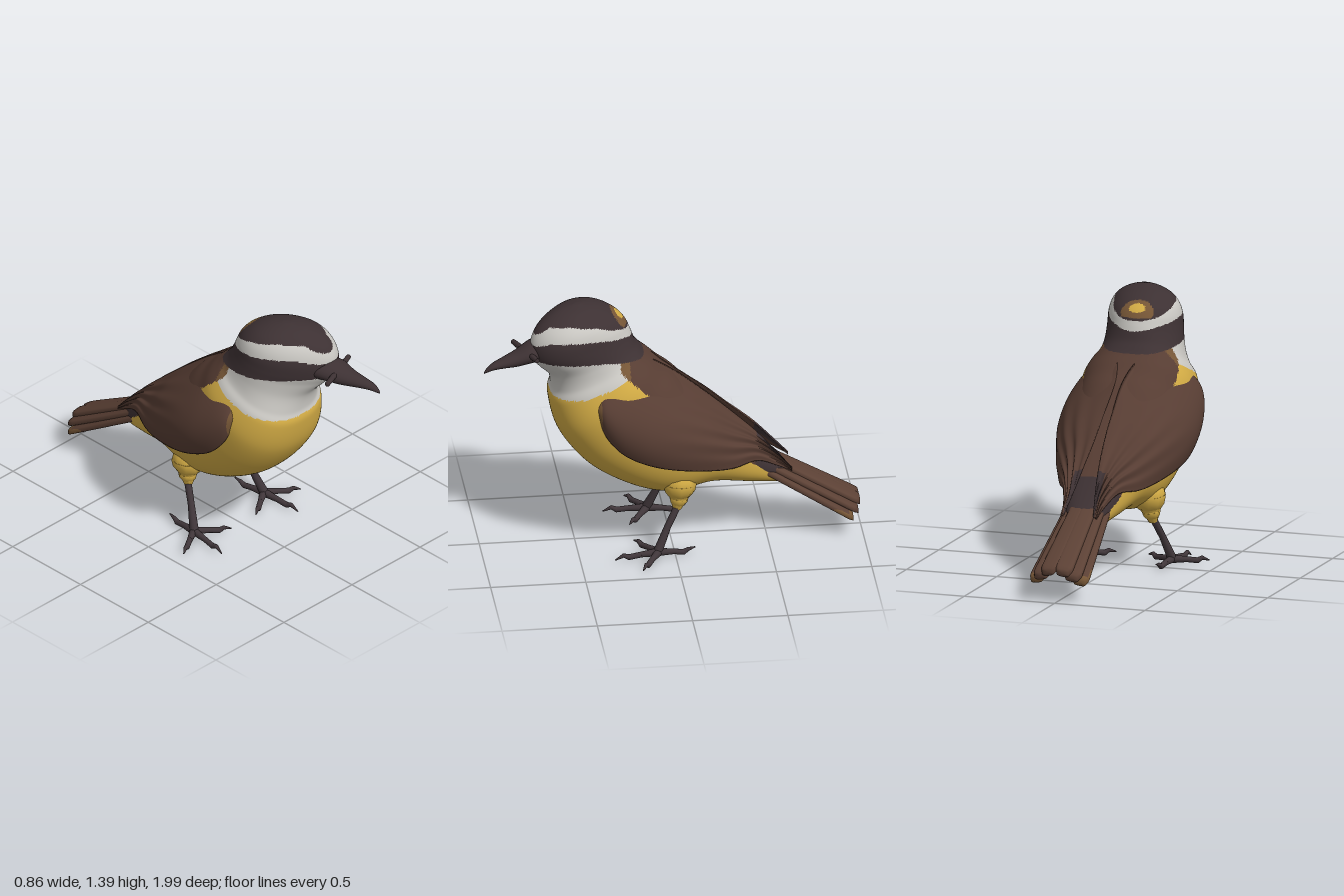
import * as THREE from 'three';

const COLOURS = {
  brown: 0x573d33, dark: 0x3d3133, white: 0xc9c7c2, yellow: 0xd3ac45,
  tan: 0x765636, legGrey: 0x40363a, tailBrown: 0x5c4135,
};
const NAMES = Object.keys(COLOURS);

// Catmull-Rom sample of a table of rows, u in 0..1
function sample(rows, u) {
  const n = rows.length - 1, f = Math.min(u * n, n - 1e-6), i = Math.floor(f), t = f - i;
  const row = (k) => rows[Math.max(0, Math.min(n, k))];
  return rows[i].map((_, k) => {
    const a = row(i - 1)[k], b = row(i)[k], c = row(i + 1)[k], d = row(i + 2)[k];
    return b + 0.5 * t * (c - a + t * (2 * a - 5 * b + 4 * c - d + t * (3 * (b - c) + d - a)));
  });
}

// Piecewise-linear curve through [x, y] pairs
function along(pts, x) {
  for (let i = 1; i < pts.length; i++) {
    if (x <= pts[i][0] || i === pts.length - 1) {
      const [x0, y0] = pts[i - 1], [x1, y1] = pts[i];
      return y0 + (y1 - y0) * THREE.MathUtils.clamp((x - x0) / (x1 - x0), 0, 1);
    }
  }
}

// Skin of closed rings point(u, v) with closed ends; colour(x, y, z, u, v) names each face's material
function loft(point, nu, nv, colour, mats, name) {
  const pos = [], buckets = NAMES.map(() => []);
  for (let i = 0; i <= nu; i++) for (let j = 0; j < nv; j++) pos.push(...point(i / nu, j / nv));
  const P = (i) => new THREE.Vector3().fromArray(pos, i * 3);
  const cap = (start) => {
    const c = new THREE.Vector3();
    for (let j = 0; j < nv; j++) c.addScaledVector(P(start + j), 1 / nv);
    return pos.push(c.x, c.y, c.z) / 3 - 1;
  };
  const first = cap(0), last = cap(nu * nv), tris = [];
  for (let j = 0; j < nv; j++) {
    const k = (j + 1) % nv;
    tris.push([first, k, j, 0, j / nv], [last, nu * nv + j, nu * nv + k, 1, j / nv]);
    for (let i = 0; i < nu; i++) {
      const a = i * nv + j, b = i * nv + k, u = (i + 0.5) / nu, v = (j + 0.5) / nv;
      tris.push([a, b, b + nv, u, v], [a, b + nv, a + nv, u, v]);
    }
  }
  let volume = 0;
  for (const [a, b, c] of tris) volume += P(a).dot(P(b).cross(P(c)));
  for (const [a, b, c, u, v] of tris) {
    const m = P(a).add(P(b)).add(P(c)).divideScalar(3);
    buckets[NAMES.indexOf(colour(m.x, m.y, m.z, u, v))].push(...(volume > 0 ? [a, b, c] : [a, c, b]));
  }
  const geo = new THREE.BufferGeometry();
  geo.setAttribute('position', new THREE.Float32BufferAttribute(pos, 3));
  geo.setIndex(buckets.flat());
  let start = 0;
  buckets.forEach((b, i) => { if (b.length) geo.addGroup(start, b.length, i); start += b.length; });
  geo.computeVertexNormals();
  const mesh = new THREE.Mesh(geo, NAMES.map((n) => mats[n]));
  mesh.name = name;
  return mesh;
}

// Sideways lean of the turned head
const turnX = (z) => { const d = z - 0.42; return 0.18 * (d + Math.sqrt(d * d + 0.01)) - 0.005; };

// Body and head rings: back z, back y, front z, front y, half width, head turn
const BODY = [
  [-0.63, 0.39, -0.63, 0.32, 0.03, 0], [-0.58, 0.43, -0.57, 0.3, 0.09, 0],
  [-0.44, 0.56, -0.4, 0.322, 0.16, 0], [-0.31, 0.69, -0.2, 0.345, 0.22, 0],
  [-0.18, 0.81, 0, 0.305, 0.265, 0], [-0.1, 0.885, 0.17, 0.335, 0.285, 0],
  [-0.016, 0.97, 0.36, 0.43, 0.3, 0], [0.05, 1.02, 0.49, 0.54, 0.305, 0],
  [0.1, 1.065, 0.6, 0.7, 0.3, 0], [0.14, 1.1, 0.64, 0.86, 0.265, 0],
  [0.165, 1.13, 0.63, 0.935, 0.23, 0.1], [0.185, 1.16, 0.645, 1.02, 0.215, 0.5],
  [0.2, 1.2, 0.7, 1.09, 0.212, 0.9], [0.215, 1.24, 0.74, 1.15, 0.21, 1],
  [0.235, 1.28, 0.745, 1.23, 0.205, 1], [0.27, 1.32, 0.715, 1.3, 0.185, 1],
  [0.33, 1.36, 0.66, 1.35, 0.145, 1], [0.4, 1.387, 0.59, 1.384, 0.085, 1],
  [0.47, 1.4, 0.51, 1.4, 0.015, 1],
];
const CROWN = [[0.2, 1.25], [0.25, 1.265], [0.4, 1.32], [0.55, 1.345], [0.65, 1.335], [0.75, 1.265]];
const BROW = [[0.2, 1.205], [0.25, 1.225], [0.4, 1.255], [0.55, 1.27], [0.65, 1.265], [0.75, 1.225]];
const MASK = [[0.15, 1.1], [0.4, 1.13], [0.6, 1.143], [0.75, 1.15]];
const BIB = [[0.2, 1.06], [0.33, 1.0], [0.465, 0.945], [0.64, 0.905]];

function bodyPoint(u, v) {
  const [bz, by, fz, fy, w, turn] = sample(BODY, u), a = v * Math.PI * 2;
  const e = 2 / THREE.MathUtils.lerp(2.35, 2, turn);
  const soft = (t) => Math.sign(t) * Math.abs(t) ** e;
  const c = soft(Math.cos(a)), s = soft(Math.sin(a));
  const z = (bz + fz) / 2 + c * (fz - bz) / 2, y = (by + fy) / 2 + c * (fy - by) / 2;
  return [s * w * (1 - 0.2 * turn * Math.max(0, c) ** 2) + turn * turnX(z), y, z];
}

function bodyColour(x, y, z) {
  if (y > along(MASK, z)) {
    const spot = (x / 0.09) ** 2 + ((z - 0.27) / 0.045) ** 2;
    if (y > 1.27 && spot < 1) return spot < 0.25 ? 'yellow' : 'tan';
    return y > along(CROWN, z) || y < along(BROW, z) ? 'dark' : 'white';
  }
  if (z < 0.28 && y > 0.83 + 0.857 * z) return z < -0.43 ? 'dark' : z < 0.23 ? 'brown' : 'tan';
  return y > along(BIB, z) ? 'white' : 'yellow';
}

// Wing sections: z, then x, y of the upper edge, bulge and lower edge
const WING = [
  [0.41, 0.265, 0.93, 0.285, 0.9, 0.285, 0.86], [0.37, 0.215, 1.0, 0.325, 0.89, 0.31, 0.75],
  [0.28, 0.16, 1.06, 0.347, 0.86, 0.33, 0.65], [0.15, 0.07, 1.085, 0.34, 0.84, 0.34, 0.585],
  [0, 0.02, 0.99, 0.305, 0.8, 0.325, 0.54], [-0.18, 0.02, 0.845, 0.245, 0.72, 0.275, 0.5],
  [-0.31, 0.025, 0.73, 0.18, 0.645, 0.22, 0.48], [-0.44, 0.04, 0.61, 0.125, 0.575, 0.155, 0.485],
  [-0.55, 0.06, 0.49, 0.09, 0.48, 0.115, 0.43], [-0.63, 0.08, 0.4, 0.09, 0.395, 0.1, 0.385],
];
const wingPoint = (side) => (u, v) => {
  const [z, tx, ty, mx, my, lx, ly] = sample(WING, u);
  const outer = v < 0.7, t = outer ? v / 0.7 : (1 - v) / 0.3, q = 4 * t * (1 - t);
  // feather ridges grow towards the wing tip
  const ridge = 0.007 * Math.sin(t * 30) * q * THREE.MathUtils.smoothstep(u, 0.35, 0.75);
  const k = outer ? q : -0.1 * q, bx = mx - (tx + lx) / 2, by = my - (ty + ly) / 2;
  const off = outer ? ridge : 0;
  return [side * (tx + (lx - tx) * t + bx * k + off), ty + (ly - ty) * t + by * k + off, z];
};
const wingColour = (x, y, z, u, v) =>
  u < 0.07 || (u < 0.33 && v < 0.04) ? 'tan' : z < -0.45 && Math.abs(x) < 0.085 ? 'dark' : 'brown';

// Bill rings: z, upper y, lower y, half width
const BILL = [
  [0.66, 1.235, 1.125, 0.09], [0.74, 1.235, 1.125, 0.088], [0.82, 1.2, 1.117, 0.062],
  [0.89, 1.177, 1.12, 0.042], [0.95, 1.158, 1.12, 0.026], [0.985, 1.135, 1.112, 0.012], [1.0, 1.114, 1.108, 0.002],
];
function billPoint(u, v) {
  const [z, top, low, w] = sample(BILL, u), a = v * Math.PI * 2;
  return [turnX(z) + Math.cos(a) * w, (top + low) / 2 + Math.sin(a) * (top - low) / 2, z];
}

// Chain of tapered rods with rounded joints; points are [x, y, z, radius]
function limb(points, mat, name) {
  const group = new THREE.Group();
  group.name = name;
  points.slice(1).forEach((p, i) => {
    const q = points[i], a = new THREE.Vector3(...q.slice(0, 3)), b = new THREE.Vector3(...p.slice(0, 3));
    const rod = new THREE.Mesh(new THREE.CylinderGeometry(p[3], q[3], a.distanceTo(b), 10), mat);
    rod.position.copy(a).lerp(b, 0.5);
    rod.quaternion.setFromUnitVectors(new THREE.Vector3(0, 1, 0), b.sub(a).normalize());
    const joint = new THREE.Mesh(new THREE.SphereGeometry(q[3], 10, 8), mat);
    joint.position.copy(a);
    group.add(rod, joint);
  });
  return group;
}

export function createModel() {
  const bird = new THREE.Group(), mats = {};
  bird.name = 'bird';
  for (const n of NAMES) {
    mats[n] = new THREE.MeshStandardMaterial({ color: COLOURS[n] });
    mats[n].name = n;
  }
  bird.add(loft(bodyPoint, 150, 120, bodyColour, mats, 'bodyAndHead'));
  bird.add(loft(billPoint, 24, 24, () => 'dark', mats, 'bill'));
  bird.add(limb([[0, 1.18, 0.82, 0.014], [0.13, 1.185, 0.77, 0.018], [0.25, 1.19, 0.725, 0.013]], mats.dark, 'twig'));

  // Tail feathers: tip x, tip y, tip z, half width; outer ones hang lower
  const feathers = [[0.04, 0.17, -0.99, 0.048], [0.085, 0.143, -0.975, 0.05], [0.118, 0.118, -0.945, 0.048]];
  for (const side of [1, -1]) {
    const label = side > 0 ? 'left' : 'right';
    bird.add(loft(wingPoint(side), 70, 90, wingColour, mats, label + 'Wing'));

    feathers.forEach(([tx, ty, tz, w], i) => {
      const blade = (u, v) => {
        const a = v * Math.PI * 2, soft = (t) => Math.sign(t) * Math.abs(t) ** 0.6;
        const half = w * (0.8 + 0.2 * u) * (u > 0.95 ? 1 - (u - 0.95) * 6 : 1);
        const x = tx * (0.72 + 0.28 * u) + half * soft(Math.cos(a));
        return [side * x, 0.475 - 0.03 * i + (ty - 0.475 + 0.03 * i) * u + 0.02 * soft(Math.sin(a)) - 0.12 * (x - tx),
          -0.46 + (tz + 0.46) * u];
      };
      const tint = (x, y, z, u) => (i === 2 && (u > 0.96 || (u > 0.8 && Math.abs(x) > 0.157)) ? 'tan' : 'tailBrown');
      bird.add(loft(blade, 24, 20, tint, mats, label + 'TailFeather' + (i + 1)));
    });

    // Thigh, shank and four clawed toes
    const at = (x, y, z, r) => [side * x, y, z, r];
    bird.add(limb([at(0.175, 0.39, -0.03, 0.09), at(0.185, 0.31, -0.025, 0.05), at(0.192, 0.25, -0.015, 0.022)],
      mats.yellow, label + 'Thigh'));
    bird.add(limb([at(0.19, 0.28, -0.025, 0.019), at(0.225, 0.16, 0.04, 0.018), at(0.255, 0.045, 0.09, 0.024),
      at(0.257, 0.03, 0.1, 0.02)], mats.legGrey, label + 'Leg'));
    [[0.43, 0.19, 0.02], [0.28, 0.32, 0.012], [0.09, 0.2, 0.025], [0.24, -0.105, 0.045]].forEach(([x, z, y], i) => {
      const on = (t, h, r) => at(0.257 + (x - 0.257) * t, h, 0.09 + (z - 0.09) * t, r);
      bird.add(limb([on(0, 0.035, 0.022), on(0.4, 0.03, 0.015), on(0.68, 0.022, 0.015), on(0.8, 0.035, 0.011), on(1, y, 0.003)],
        mats.legGrey, label + 'Toe' + (i + 1)));
    });
  }
  return bird;
}
